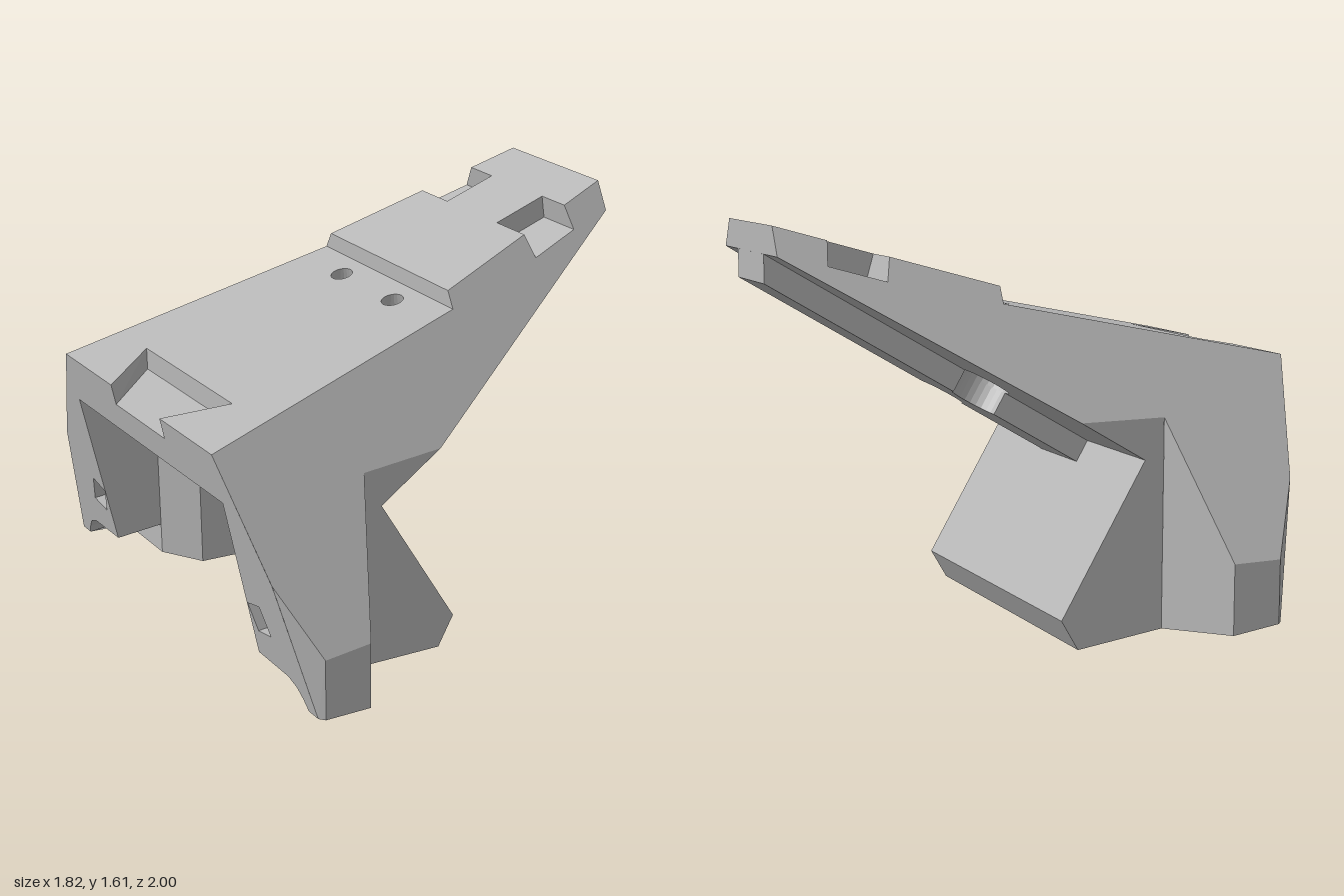
import * as THREE from 'three';

const V = (x, y, z) => new THREE.Vector3(x, y, z);

// Planar polygon (with optional holes), wound so that it faces along hint
function face(out, pts, hint, holes = []) {
  const n = V(0, 0, 0);
  pts.forEach((p, i) => n.add(p.clone().cross(pts[(i + 1) % pts.length])));
  const ax = Math.abs(n.x), ay = Math.abs(n.y), az = Math.abs(n.z);
  const flat = p => ax >= ay && ax >= az ? new THREE.Vector2(p.y, p.z)
    : ay >= az ? new THREE.Vector2(p.z, p.x) : new THREE.Vector2(p.x, p.y);
  const all = [...pts, ...holes.flat()];
  const tris = THREE.ShapeUtils.triangulateShape(pts.map(flat), holes.map(h => h.map(flat)));
  for (const [a, b, c] of tris) {
    const [A, B, C] = [all[a], all[b], all[c]];
    const normal = B.clone().sub(A).cross(C.clone().sub(A));
    const t = normal.dot(hint) >= 0 ? [A, B, C] : [A, C, B];
    t.forEach(p => out.push(p.x, p.y, p.z));
  }
}

// Band of quads between two rings, facing the rings' common centre
function bandInward(out, a, b) {
  const c = V(0, 0, 0);
  [...a, ...b].forEach(p => c.addScaledVector(p, 1 / (2 * a.length)));
  a.forEach((p, i) => {
    const j = (i + 1) % a.length;
    const hint = c.clone().sub(p.clone().add(a[j]).add(b[i]).add(b[j]).multiplyScalar(0.25));
    face(out, [p, a[j], b[j]], hint);
    face(out, [p, b[j], b[i]], hint);
  });
}

// Completes half of an outline with its mirror image
const sym = half => [...half, ...half.slice().reverse().map(p => V(-p.x, p.y, p.z))];
const flip = (pts, s) => pts.map(p => V(p.x * s, p.y, p.z));

// Main planes of the body
const sideX = y => 0.54 - 0.507 * (y - 1.07);
const frontZ = y => 1 - 0.204 * (1.07 - y);
const roofY = z => 1.07 + 0.2043 * (1 - z);
const deckY = z => 1.37 + 0.282 * (-0.15 - z);
const bottomY = z => 0.1216 * (z - 0.06);
const underY = z => 0.71 + 0.5896 * (0.34 - z);
const onSide = (z, y) => V(sideX(y), y, z);
const onFront = (x, y) => V(x, y, frontZ(y));
const onBottom = (x, z) => V(x, bottomY(z), z);
const UP = V(0, 1, 0), DOWN = V(0, -1, 0), FRONT = V(0, 0, 1), BACK = V(0, 0, -1);
const N = V(0, 0.861, 0.508), T = V(0, 0.508, -0.861);

export function createModel() {
  const group = new THREE.Group();
  const grey = new THREE.MeshStandardMaterial({ color: 0xb8b8b8, side: THREE.DoubleSide });
  grey.name = 'grey';
  const part = (name, build) => {
    const out = [];
    build(out);
    const g = new THREE.BufferGeometry();
    g.setAttribute('position', new THREE.Float32BufferAttribute(out, 3));
    g.computeVertexNormals();
    const m = new THREE.Mesh(g, grey);
    m.name = name;
    group.add(m);
  };
  const both = fn => [1, -1].forEach(fn);

  // Rings of the two bores: wide below, narrow at the roof
  const ring = fn => Array.from({ length: 24 }, (_, i) => fn(Math.cos(i * Math.PI / 12), Math.sin(i * Math.PI / 12)));
  const low = ring((c, s) => V(0.17 + 0.1 * c, underY(-0.11), -0.11).addScaledVector(T, 0.1 * s));
  const mid = low.map(p => p.clone().addScaledVector(N, 0.1));
  const top = ring((c, s) => V(0.17 + 0.043 * c, roofY(-0.05 - 0.043 * s), -0.05 - 0.043 * s));

  part('roof', o => {
    face(o, sym([V(0.18, 1.07, 1), V(0.54, 1.07, 1), V(sideX(1.305), 1.305, -0.15)])
      .concat([]).slice(0, 6).length && [
      V(0.18, 1.07, 1), V(0.54, 1.07, 1), V(sideX(1.305), 1.305, -0.15),
      V(-sideX(1.305), 1.305, -0.15), V(-0.54, 1.07, 1), V(-0.18, 1.07, 1),
      V(-0.31, roofY(0.77), 0.77), V(0.31, roofY(0.77), 0.77)], UP, [top, flip(top, -1)]);
    face(o, sym([onSide(-0.15, 1.305), onSide(-0.15, 1.37)]), FRONT);
  });

  part('roofNotch', o => {
    const f = [V(0.18, 0.985, frontZ(0.985)), V(0.31, 1.03, 0.77)];
    const r = [V(0.18, 1.07, 1), V(0.31, roofY(0.77), 0.77)];
    face(o, sym(f), UP);
    face(o, sym([f[1], r[1]]), FRONT);
    both(s => face(o, flip([f[0], f[1], r[1], r[0]], s), V(-s, 0, 0.5)));
  });

  // Raised rear deck with a pocket open to each side
  const p1 = [-0.57, deckY(-0.57)], p2 = [-0.595, 1.4], p3 = [-0.815, 1.462], p4 = [-0.8, deckY(-0.8)];
  part('rearDeck', o => {
    face(o, sym([onSide(-0.15, 1.37), onSide(...p1), V(0.16, p1[1], p1[0]),
      V(0.16, p4[1], p4[0]), onSide(...p4), onSide(-1, 1.61)]), UP);
    face(o, sym([onSide(-1, 1.61), onSide(-1, 1.5)]), BACK);
  });
  part('deckPockets', o => both(s => {
    const inner = [p1, p2, p3, p4].map(p => V(0.16 * s, p[1], p[0]));
    const outer = [p1, p2, p3, p4].map(p => V(s * sideX(p[1]), p[1], p[0]));
    face(o, inner, V(s, 0, 0));
    [BACK, UP, FRONT].forEach((h, i) => face(o, [inner[i], inner[i + 1], outer[i + 1], outer[i]], h));
  }));

  part('sides', o => both(s => face(o, flip([
    [1, 1.07], [-0.15, 1.305], [-0.15, 1.37], p1, p2, p3, p4, [-1, 1.61], [-1, 1.5],
    [0.069, 0.87], [0.42, 0.87], [0.58, 0.34], [0.78, 0.34], [0.908, 0.62],
  ].map(p => onSide(...p)), s), V(s, 0.5, 0))));

  // Front face with central opening, foot arches and two small sockets
  const arch = [[0.535, 0.2], [0.73, 0.195], [0.78, 0.17], [0.81, 0.13], [0.83, 0.09]];
  const socket = [[0.54, 0.43], [0.625, 0.455], [0.665, 0.34], [0.575, 0.32]].map(p => onFront(...p));
  part('frontFace', o => face(o, sym([
    [0.18, 0.985], [0.18, 1.07], [0.54, 1.07], [0.768, 0.62], [0.89, 0.09],
    ...arch.slice().reverse(), [0.535, 0.865],
  ].map(p => onFront(...p))), FRONT, [socket, flip(socket, -1)]));
  part('frontSockets', o => both(s => {
    const a = flip(socket, s), b = a.map(p => p.clone().add(V(0, 0, -0.06)));
    bandInward(o, a, b);
    face(o, b, FRONT);
  }));

  // Outer leg faces
  part('legs', o => both(s => {
    const f = (pts, h) => face(o, flip(pts, s), h);
    f([onSide(0.908, 0.62), onSide(0.78, 0.34), onBottom(0.91, 0.78), onFront(0.89, 0.09)], V(s, 0, 1));
    f([onSide(0.78, 0.34), onSide(0.58, 0.34), onBottom(0.91, 0.58), onBottom(0.91, 0.78)], V(s, 0, 0));
    f([onSide(0.42, 0.87), onSide(0.58, 0.34), onBottom(0.91, 0.58), onBottom(0.641, 0.42)], V(s, 0, -1));
    f([[0.87, 0.42], [0.87, 0.069], [0.71, 0.34], [0.12, -0.01], [0, 0.06], [bottomY(0.42), 0.42]]
      .map(p => V(0.641, p[0], p[1])), V(s, 0, 0));
  }));

  part('backPanel', o => {
    face(o, sym([V(0.641, 0.71, 0.34), V(0.641, 0.12, -0.01)]), BACK);
    face(o, sym([V(0.641, 0.12, -0.01), V(0.641, 0, 0.06)]), V(0, -0.5, -1));
  });

  part('bottom', o => face(o, sym([
    [0.641, 0.06], [0.641, 0.42], [0.91, 0.58], [0.91, 0.78], [0.89, 0.8], [0.83, 0.8], [0.83, 0.62],
    [0.535, 0.62], [0.39, 0.51], [0.39, 0.22],
  ].map(p => onBottom(...p))), DOWN));

  part('footArches', o => both(s => {
    const front = flip(arch.map(p => onFront(...p)), s);
    const end = front.map(p => V(p.x, p.y, 0.62));
    for (let i = 0; i < 4; i++) face(o, [front[i], front[i + 1], end[i + 1], end[i]], V(-s, -1, 0));
    face(o, [...end, V(0.83 * s, 0.068, 0.62), V(0.535 * s, 0.068, 0.62)], FRONT);
  }));

  // Hollow interior
  part('interior', o => {
    face(o, sym([onFront(0.535, 0.865), V(0.535, 0.865, 0.62), V(0.39, 0.865, 0.51)]), DOWN);
    face(o, sym([V(0.39, 0.865, 0.51), V(0.39, 0.22, 0.13)]), FRONT);
    face(o, sym([V(0.39, 0.22, 0.13), onBottom(0.39, 0.22)]), V(0, 0.5, 1));
    both(s => {
      const f = (pts, h) => face(o, flip(pts, s), h);
      f([onFront(0.535, 0.865), V(0.535, 0.865, 0.62), V(0.535, 0.2, 0.62), onFront(0.535, 0.2)], V(-s, 0, 0));
      f([V(0.535, 0.865, 0.62), V(0.39, 0.865, 0.51), onBottom(0.39, 0.51), onBottom(0.535, 0.62)], V(-s, 0, 1));
      f([V(0.39, 0.865, 0.51), V(0.39, 0.22, 0.13), onBottom(0.39, 0.22), onBottom(0.39, 0.51)], V(-s, 0, 0));
    });
  });

  part('armUnderside', o => face(o, sym([onSide(-1, 1.5), onSide(0.069, 0.87), V(0.641, 0.71, 0.34)]),
    N.clone().negate(), [low, flip(low, -1)]));

  part('bores', o => both(s => {
    bandInward(o, flip(low, s), flip(mid, s));
    bandInward(o, flip(mid, s), flip(top, s));
  }));

  // Rail under the arm, bitten by the bores
  part('rail', o => {
    const sHole = 0.45 / 0.861, half = [[0.16, 0]];
    for (let i = 0; i <= 12; i++) {
      const a = -1.671 - i * (2 * Math.PI - 2 * 1.671) / 12;
      half.push([0.17 + 0.1 * Math.cos(a), sHole + 0.1 * Math.sin(a)]);
    }
    half.push([0.16, 1.556]);
    const outline = [...half, ...half.slice().reverse().map(([x, s]) => [-x, s])];
    const at = (x, s) => V(x, 0.71, 0.34).addScaledVector(T, s);
    const upper = outline.map(([x, s]) => at(x, s));
    const lower = outline.map(([x, s]) => at(x, Math.min(s, 1.5)).addScaledVector(N, -0.095));
    face(o, lower, N.clone().negate());
    outline.forEach(([x, s], i) => {
      const j = (i + 1) % outline.length;
      const hint = V(outline[j][1] - s, 0, 0).addScaledVector(T, x - outline[j][0]);
      face(o, [upper[i], upper[j], lower[j], lower[i]], hint);
    });
  });

  return group;
}
